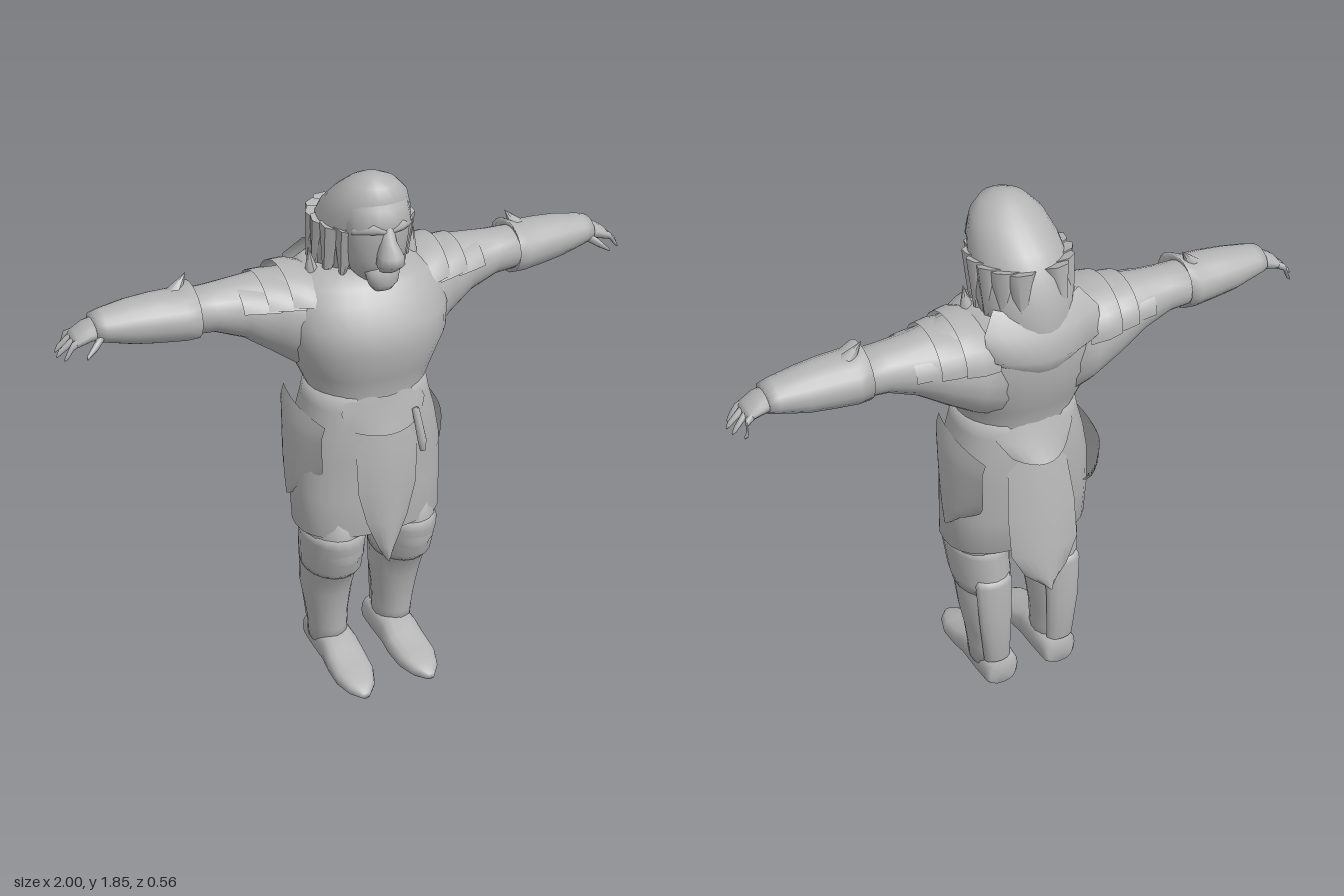
import * as THREE from 'three';
import { mergeVertices } from 'three/addons/utils/BufferGeometryUtils.js';

const stone = new THREE.MeshStandardMaterial({ color: 0xb4b4b4, side: THREE.DoubleSide });
stone.name = 'plain grey';

// Grid surface from a point function of (row, column)
function surface(nu, nv, point) {
  const pos = [], idx = [];
  for (let i = 0; i <= nu; i++) for (let j = 0; j <= nv; j++) pos.push(...point(i, j));
  for (let i = 0; i < nu; i++) for (let j = 0; j < nv; j++) {
    const a = i * (nv + 1) + j, b = a + nv + 1;
    idx.push(a, a + 1, b, a + 1, b + 1, b);
  }
  const g = new THREE.BufferGeometry();
  g.setAttribute('position', new THREE.Float32BufferAttribute(pos, 3));
  g.setIndex(idx);
  const m = mergeVertices(g, 1e-4);
  m.computeVertexNormals();
  return m;
}

// Closed loft along an axis; rows are [position, centre1, centre2, radius1, radius2]
// x: centres in y,z   y: centres in x,z   z: centres in x,y
function loft(axis, rows, n = 20, power = 2) {
  const cap = r => [r[0], r[1], r[2], 0, 0];
  const all = [cap(rows[0]), ...rows, cap(rows[rows.length - 1])];
  const p = v => Math.sign(v) * Math.pow(Math.abs(v), 2 / power);
  return surface(all.length - 1, n, (i, j) => {
    const [t, c1, c2, r1, r2] = all[i], q = ((j % n) / n) * Math.PI * 2;
    if (axis === 'y') return [c1 + r1 * p(Math.sin(q)), t, c2 + r2 * p(Math.cos(q))];
    const a = c1 + r1 * p(Math.cos(q)), b = c2 + r2 * p(Math.sin(q));
    return axis === 'x' ? [t, a, b] : [a, b, t];
  });
}

// Hanging cloth; rows are [y, z, halfWidth], bend curves its sides inwards
const cloth = (rows, bend, sag = 0) => surface(rows.length - 1, 8, (i, j) => {
  const [y, z, w] = rows[i], u = j / 4 - 1;
  return [u * w, y + sag * u * u, z - bend * u * u];
});

// Open plate wrapped over the arm; rows are [x, cy, cz, ry, rz]
const armPlate = (rows, from, to) => surface(rows.length - 1, 14, (i, j) => {
  const [x, cy, cz, ry, rz] = rows[i], q = from + (to - from) * j / 14;
  return [x, cy + ry * Math.cos(q), cz + rz * Math.sin(q)];
});

function spike(from, to, r) {
  const a = new THREE.Vector3(...from), d = new THREE.Vector3(...to).sub(a);
  const g = new THREE.ConeGeometry(r, d.length(), 7);
  g.translate(0, d.length() / 2, 0);
  g.applyQuaternion(new THREE.Quaternion().setFromUnitVectors(new THREE.Vector3(0, 1, 0), d.normalize()));
  return g.translate(a.x, a.y, a.z);
}

function mirrored(g) {
  const m = g.clone().scale(-1, 1, 1), ix = m.index.array;
  for (let i = 0; i < ix.length; i += 3) [ix[i], ix[i + 1]] = [ix[i + 1], ix[i]];
  m.computeVertexNormals();
  return m;
}

export function createModel() {
  const model = new THREE.Group();
  const add = (name, g) => {
    const m = new THREE.Mesh(g, stone);
    m.name = name;
    model.add(m);
  };
  const pair = (name, g) => {
    add('left ' + name, g);
    add('right ' + name, mirrored(g));
  };

  // Torso and skirt
  add('torso', loft('y', [
    [1.0, 0, 0, 0.21, 0.17], [1.06, 0, 0, 0.2, 0.17], [1.13, 0, 0, 0.2, 0.172],
    [1.2, 0, -0.005, 0.23, 0.195], [1.3, 0, -0.005, 0.27, 0.225], [1.38, 0, -0.015, 0.28, 0.22],
    [1.45, 0, -0.035, 0.27, 0.2], [1.5, 0, -0.05, 0.24, 0.18], [1.54, 0, -0.06, 0.17, 0.14]], 28, 2.2));
  add('skirt', loft('y', [
    [0.62, 0, 0.015, 0.235, 0.14], [0.61, 0, 0.01, 0.26, 0.165], [0.75, 0, 0, 0.262, 0.17],
    [0.9, 0, 0, 0.255, 0.18], [1.0, 0, 0, 0.235, 0.182], [1.08, 0, 0, 0.212, 0.175],
    [1.14, 0, 0, 0.2, 0.165]], 28, 2.4));
  add('belt flap', cloth([[1.13, 0.178, 0.12], [1.06, 0.19, 0.15], [1.0, 0.205, 0.13]], 0.045, 0.02));
  add('back belt flap', cloth([[1.13, -0.175, 0.12], [1.06, -0.2, 0.14], [1.0, -0.235, 0.1]], -0.05, 0.02));
  add('front cloth', cloth([[1.02, 0.185, 0.11], [0.9, 0.2, 0.11], [0.78, 0.203, 0.105],
    [0.66, 0.205, 0.075], [0.56, 0.205, 0.035], [0.5, 0.2, 0.004]], 0.025));
  add('back cloth', cloth([[1.06, -0.18, 0.09], [0.95, -0.205, 0.11], [0.8, -0.235, 0.125],
    [0.65, -0.26, 0.125], [0.56, -0.272, 0.08], [0.5, -0.28, 0.008]], -0.035));
  add('belt strap', loft('y', [[0.91, 0.118, 0.2, 0.01, 0.01], [0.95, 0.115, 0.2, 0.016, 0.014],
    [1.06, 0.1, 0.18, 0.013, 0.015]], 8));

  // Rounded hip guards
  pair('hip guard', surface(8, 14, (i, j) => {
    const v = i / 8, u = j / 7 - 1, w = 0.17 * Math.sqrt(1 - Math.pow(v, 4) * 0.93);
    return [0.225 + 0.065 * Math.pow(v, 0.6) - (0.02 + 0.06 * v) * u * u - 0.015 * v * v,
      1.04 - 0.32 * v + 0.05 * v * u * u, -0.03 + u * w];
  }));

  // Legs, boot cuffs and feet
  pair('leg', loft('y', [
    [0.08, 0.125, -0.045, 0.065, 0.09], [0.15, 0.127, -0.04, 0.068, 0.088], [0.22, 0.13, -0.04, 0.074, 0.095],
    [0.32, 0.133, -0.035, 0.09, 0.105], [0.4, 0.132, -0.02, 0.094, 0.125], [0.46, 0.132, 0.005, 0.092, 0.14],
    [0.52, 0.132, 0.025, 0.098, 0.152], [0.6, 0.135, 0.02, 0.104, 0.145], [0.74, 0.125, 0, 0.11, 0.14]], 18));
  pair('boot cuff', loft('y', [[0.42, 0.132, -0.01, 0.096, 0.13], [0.45, 0.132, 0.005, 0.1, 0.145],
    [0.57, 0.135, 0.026, 0.107, 0.155], [0.6, 0.135, 0.022, 0.1, 0.148]], 18));
  pair('calf guard', loft('y', [[0.12, 0.126, -0.115, 0.05, 0.03], [0.3, 0.133, -0.12, 0.062, 0.033],
    [0.46, 0.133, -0.11, 0.07, 0.04], [0.48, 0.133, -0.11, 0.06, 0.03]], 12));
  pair('foot', loft('z', [
    [-0.145, 0.117, 0.06, 0.05, 0.047], [-0.13, 0.117, 0.068, 0.066, 0.06], [-0.05, 0.117, 0.07, 0.07, 0.065],
    [0.04, 0.117, 0.067, 0.07, 0.062], [0.1, 0.118, 0.05, 0.074, 0.046], [0.18, 0.121, 0.04, 0.072, 0.036],
    [0.24, 0.123, 0.032, 0.05, 0.026], [0.28, 0.125, 0.025, 0.015, 0.012]], 16, 2.6));

  // Sleeves that sweep from the waist out to the forearms
  pair('arm', loft('x', [
    [0.08, 1.325, -0.03, 0.205, 0.18], [0.2, 1.355, -0.05, 0.175, 0.165], [0.3, 1.39, -0.073, 0.14, 0.13],
    [0.4, 1.42, -0.08, 0.1, 0.102], [0.5, 1.437, -0.08, 0.075, 0.088], [0.6, 1.44, -0.08, 0.07, 0.085]], 20));
  pair('bracer', loft('x', [
    [0.575, 1.445, -0.078, 0.07, 0.085], [0.56, 1.448, -0.075, 0.092, 0.105], [0.6, 1.438, -0.078, 0.084, 0.1],
    [0.68, 1.442, -0.08, 0.08, 0.092], [0.76, 1.445, -0.083, 0.071, 0.083], [0.85, 1.45, -0.083, 0.052, 0.066],
    [0.88, 1.45, -0.083, 0.044, 0.058]], 18));
  pair('bracer point', spike([0.62, 1.49, -0.09], [0.565, 1.565, -0.1], 0.035));

  // Hands
  pair('palm', loft('x', [[0.85, 1.45, -0.083, 0.035, 0.05], [0.9, 1.442, -0.083, 0.03, 0.056],
    [0.94, 1.425, -0.083, 0.022, 0.053], [0.95, 1.42, -0.083, 0.013, 0.045]], 14));
  [[-0.118, -0.15, 0.97], [-0.095, -0.112, 0.995], [-0.07, -0.076, 1.0], [-0.048, -0.042, 0.985]].forEach(([z0, z1, x], i) =>
    pair('finger ' + (i + 1), loft('x', [[0.92, 1.432, z0, 0.014, 0.013], [0.955, 1.418, (z0 + z1) / 2, 0.013, 0.012],
      [x - 0.01, 1.39, z1, 0.01, 0.009], [x, 1.378, z1, 0.004, 0.004]], 8)));
  pair('thumb', loft('x', [[0.86, 1.435, -0.045, 0.018, 0.018], [0.89, 1.415, -0.02, 0.015, 0.014],
    [0.925, 1.39, -0.002, 0.006, 0.007]], 8));

  // Overlapping shoulder plates
  [0.19, 0.265, 0.34].forEach((x, i) => {
    const k = i * 0.018;
    pair('shoulder plate ' + (i + 1), armPlate([
      [x - 0.03, 1.41 + k * 0.3, -0.06, 0.115 - k, 0.165 - k], [x + 0.03, 1.42, -0.068, 0.125 - k, 0.17 - k * 1.3],
      [x + 0.085, 1.42, -0.073, 0.128 - k, 0.15 - k * 1.1]], -1.65, 1.3));
  });
  pair('collar point', spike([0.17, 1.5, -0.02], [0.185, 1.61, -0.02], 0.03));
  add('back collar', cloth([[1.56, -0.2, 0.15], [1.5, -0.24, 0.2], [1.42, -0.268, 0.2], [1.36, -0.235, 0.13]], -0.05, 0.02));

  // Head with a thick mane
  add('mane', loft('y', [
    [1.45, 0, -0.11, 0.12, 0.12], [1.5, 0, -0.095, 0.145, 0.145], [1.58, 0, -0.065, 0.16, 0.16],
    [1.66, 0, -0.035, 0.155, 0.165], [1.73, 0, 0.005, 0.14, 0.158], [1.79, 0, 0.042, 0.115, 0.12],
    [1.83, 0, 0.06, 0.075, 0.08], [1.85, 0, 0.06, 0.03, 0.035]], 24));
  add('face', loft('y', [
    [1.51, 0, 0.06, 0.05, 0.06], [1.55, 0, 0.07, 0.08, 0.085], [1.6, 0, 0.08, 0.098, 0.09],
    [1.66, 0, 0.085, 0.105, 0.092], [1.72, 0, 0.09, 0.11, 0.095], [1.77, 0, 0.085, 0.1, 0.09],
    [1.81, 0, 0.08, 0.07, 0.06]], 20));
  add('nose', loft('y', [[1.575, 0, 0.175, 0.03, 0.025], [1.6, 0, 0.19, 0.046, 0.042], [1.63, 0, 0.19, 0.042, 0.042],
    [1.67, 0, 0.17, 0.026, 0.032], [1.73, 0, 0.155, 0.018, 0.025]], 12));
  add('beard', loft('y', [[1.495, 0, 0.135, 0.03, 0.02], [1.52, 0, 0.135, 0.05, 0.04],
    [1.56, 0, 0.13, 0.06, 0.042], [1.585, 0, 0.12, 0.045, 0.04]], 12));
  pair('brow', loft('x', [[0.01, 1.705, 0.165, 0.014, 0.02], [0.05, 1.715, 0.165, 0.018, 0.022],
    [0.1, 1.7, 0.115, 0.012, 0.02]], 8));

  // Locks hanging around the face and neck
  for (let i = 0; i < 6; i++) {
    const q = 0.75 + i * 0.38, x = Math.sin(q), z = Math.cos(q);
    pair('hair lock ' + (i + 1), spike([0.125 * x, 1.69, -0.035 + 0.14 * z],
      [0.16 * x, 1.49 - 0.02 * (i % 2), -0.065 + 0.165 * z], 0.048));
  }
  return model;
}
